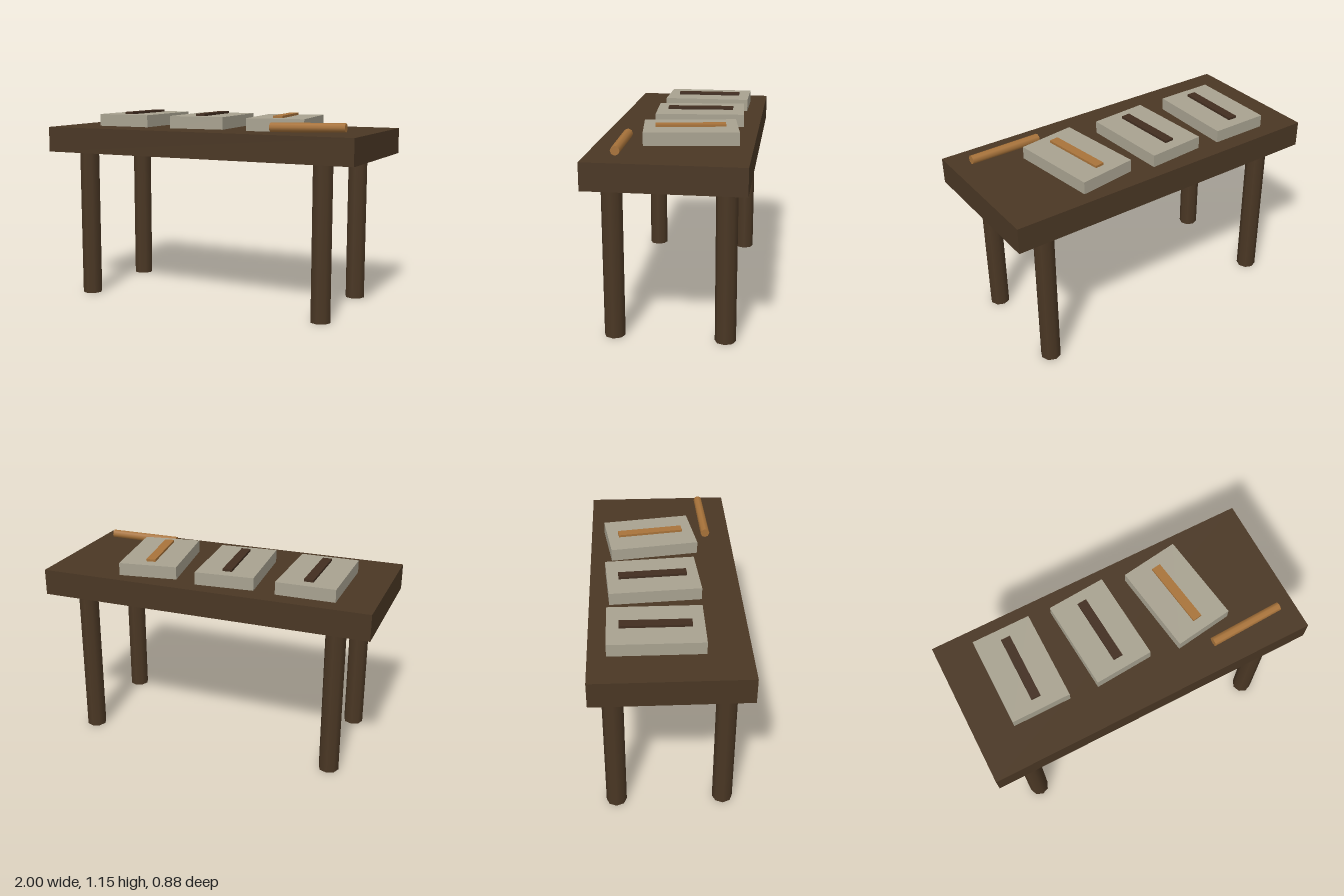
import * as THREE from 'three';

const mat = (name, color) => {
  const m = new THREE.MeshStandardMaterial({ color });
  m.name = name;
  return m;
};

export function createModel() {
  const model = new THREE.Group();
  model.name = 'workTable';

  const darkWood = mat('dark wood', 0x4a3724);
  const stone = mat('pale stone', 0xa8a290);
  const darkBar = mat('dark bar', 0x422e20);
  const amber = mat('amber wood', 0xa8733a);

  const add = (parent, name, geometry, material, x, y, z) => {
    const mesh = new THREE.Mesh(geometry, material);
    mesh.name = name;
    mesh.position.set(x, y, z);
    parent.add(mesh);
    return mesh;
  };

  // Table top and four eight-sided legs
  add(model, 'tableTop', new THREE.BoxGeometry(2, 0.155, 0.88), darkWood, 0, 0.9875, 0);
  const legGeometry = new THREE.CylinderGeometry(0.06, 0.06, 0.91, 8);
  for (const x of [-0.782, 0.782]) {
    for (const z of [-0.315, 0.315]) add(model, 'leg', legGeometry, darkWood, x, 0.455, z);
  }

  // Three slabs, each turned a little further, with a bar laid on top
  const slabGeometry = new THREE.BoxGeometry(0.35, 0.075, 0.535);
  const barGeometry = new THREE.BoxGeometry(0.056, 0.014, 0.4);
  [darkBar, darkBar, amber].forEach((barMaterial, i) => {
    const tablet = new THREE.Group();
    tablet.name = 'tablet';
    tablet.position.set(-0.6 + i * 0.5, 1.065, -0.07);
    tablet.rotation.y = i * 0.07;
    add(tablet, 'slab', slabGeometry, stone, 0, 0.0375, 0);
    add(tablet, 'bar', barGeometry, barMaterial, 0, 0.082, 0);
    model.add(tablet);
  });

  // Loose tapered rod, slightly tilted
  const start = new THREE.Vector3(0.45, 1.097, 0.283);
  const end = new THREE.Vector3(0.895, 1.105, 0.267);
  const axis = end.clone().sub(start);
  const mid = start.clone().add(end).multiplyScalar(0.5);
  const rod = add(model, 'rod', new THREE.CylinderGeometry(0.026, 0.028, axis.length(), 8),
    amber, mid.x, mid.y, mid.z);
  rod.quaternion.setFromUnitVectors(new THREE.Vector3(0, 1, 0), axis.normalize());

  return model;
}
